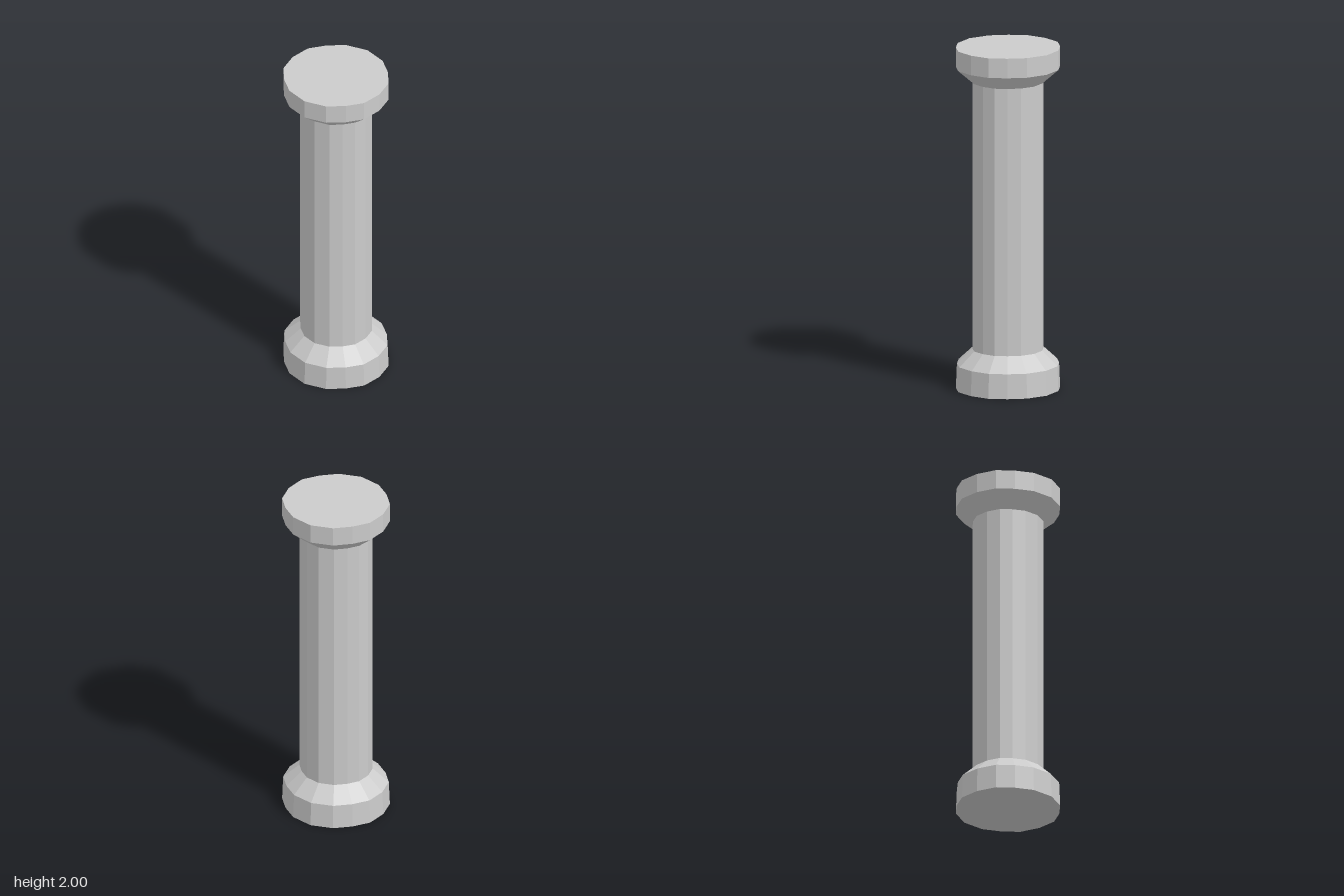
import * as THREE from 'three';

// One quarter of the slightly uneven 16-sided outline, from +z round to +x
const QUARTER = [[0, 0.306], [0.13, 0.274], [0.218, 0.204], [0.286, 0.119], [0.307, 0]];

// Mirror the quarter into all four quadrants; corner i goes round from +z
function outline(i) {
  const k = i % 16;
  const half = k > 8 ? 16 - k : k;
  const [x, z] = QUARTER[half > 4 ? 8 - half : half];
  return [k > 8 ? -x : x, half > 4 ? -z : z];
}

export function createModel() {
  const group = new THREE.Group();
  const material = new THREE.MeshStandardMaterial({ color: 0xcccccc, flatShading: true });

  // Band of the column between two heights, each end a scaled copy of the outline
  function band(name, y0, y1, scale0, scale1, cap = 0) {
    const geometry = new THREE.CylinderGeometry(1, 1, y1 - y0, 16, 1, cap === 0);
    geometry.translate(0, (y0 + y1) / 2, 0);
    const pos = geometry.attributes.position;
    const middle = (y0 + y1) / 2;
    for (let v = 0; v < pos.count; v++) {
      const x = pos.getX(v), z = pos.getZ(v);
      if (Math.hypot(x, z) < 0.5) continue; // cap centre
      const turn = Math.atan2(x, z) / (Math.PI * 2);
      const [ox, oz] = outline((Math.round(turn * 16) + 16) % 16);
      const s = pos.getY(v) > middle ? scale1 : scale0;
      pos.setX(v, ox * s);
      pos.setZ(v, oz * s);
    }
    // Keep only the outer cap: sides take 96 indices, then top cap, then bottom cap
    if (cap !== 0) {
      const index = Array.from(geometry.index.array);
      const start = cap > 0 ? 96 : 144;
      geometry.setIndex([...index.slice(0, 96), ...index.slice(start, start + 48)]);
    }
    const flat = geometry.toNonIndexed();
    flat.computeVertexNormals();
    const mesh = new THREE.Mesh(flat, material);
    mesh.name = name;
    group.add(mesh);
  }

  const shaft = 0.68;
  band('base', 0, 0.145, 1, 0.98, -1);
  band('baseSlope', 0.145, 0.23, 0.98, shaft);
  band('shaft', 0.23, 1.8, shaft, shaft);
  band('capitalSlope', 1.8, 1.885, shaft, 1);
  band('capital', 1.885, 2, 1, 1, 1);

  group.name = 'column';
  return group;
}
